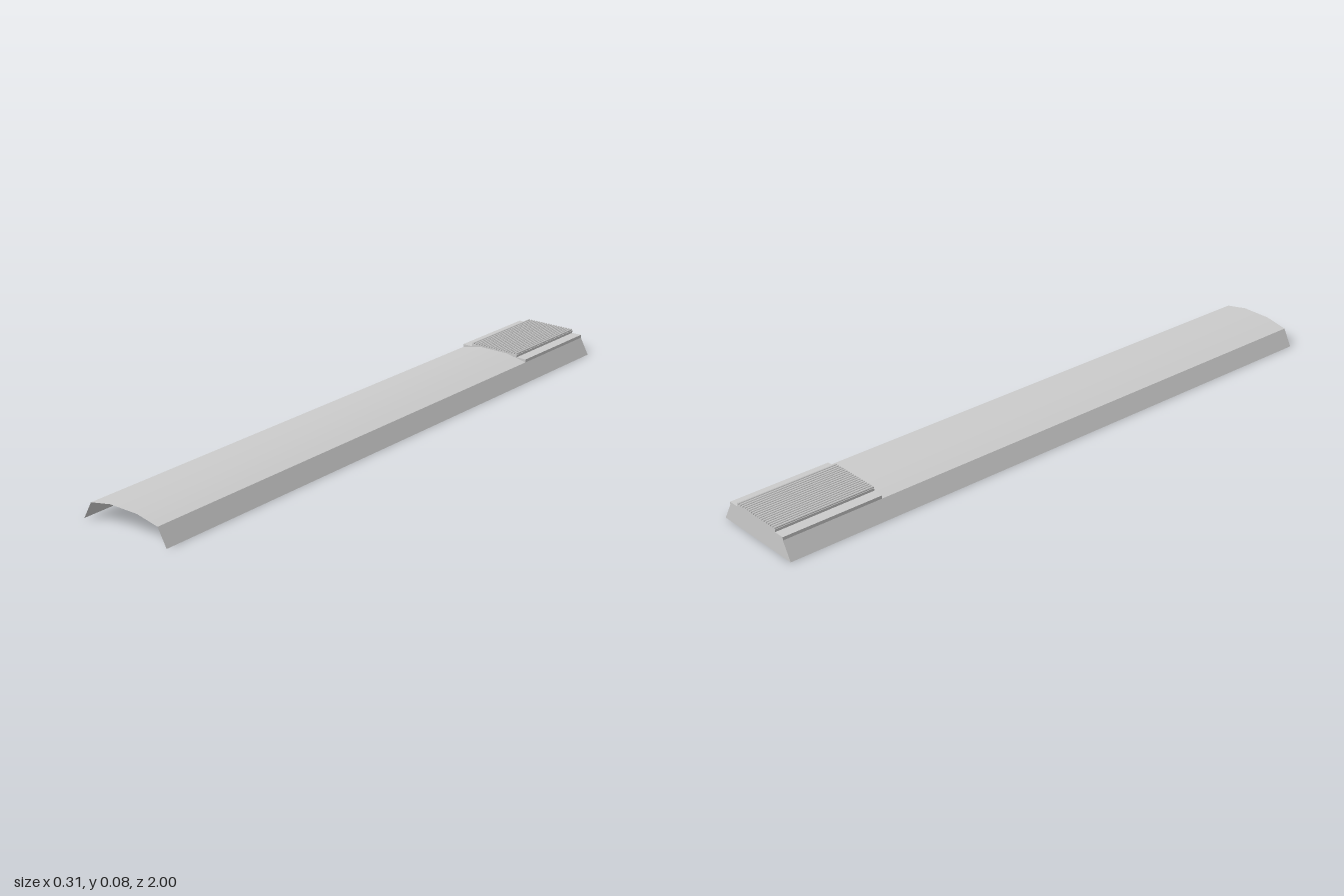
import * as THREE from 'three';

const FRONT = 1, BACK = -1, STEP = -0.67;
const material = new THREE.MeshStandardMaterial({ color: 0xcccccc, side: THREE.DoubleSide });

// Cross-section landmarks, right half as [x, y]
const FOOT = [0.155, 0], SHOULDER = [0.125, 0.054], DECK = [0.125, 0.064], CROWN = [0.05, 0.069];
const CROSSING = [0.078, 0.064]; // where the arch meets deck height
const mirror = ([x, y]) => [-x, y];

function addMesh(group, name, geometry) {
  const mesh = new THREE.Mesh(geometry, material);
  mesh.name = name;
  group.add(mesh);
  return mesh;
}

// Sweep an open profile (listed from -x to +x) along z, smooth across the profile
function sheet(profile, zFront, zBack) {
  const positions = [], index = [];
  profile.forEach(([x, y], i) => {
    positions.push(x, y, zFront, x, y, zBack);
    if (i > 0) {
      const a = 2 * (i - 1);
      index.push(a, a + 2, a + 1, a + 2, a + 3, a + 1);
    }
  });
  const geometry = new THREE.BufferGeometry();
  geometry.setAttribute('position', new THREE.Float32BufferAttribute(positions, 3));
  geometry.setIndex(index);
  geometry.computeVertexNormals();
  return geometry;
}

// Flat upright panel at a given z
function panel(points, z) {
  const shape = new THREE.Shape(points.map(([x, y]) => new THREE.Vector2(x, y)));
  return new THREE.ShapeGeometry(shape).translate(0, 0, z);
}

export function createModel() {
  const model = new THREE.Group();
  model.name = 'channelCover';

  // Long arched top and the full-length sloping sides
  addMesh(model, 'archedTop', sheet([mirror(SHOULDER), mirror(CROWN), CROWN, SHOULDER], FRONT, STEP));
  addMesh(model, 'leftSide', sheet([SHOULDER, FOOT], FRONT, BACK));
  addMesh(model, 'rightSide', sheet([mirror(FOOT), mirror(SHOULDER)], FRONT, BACK));

  // Flat rear deck with short upright edges
  addMesh(model, 'rearDeck', sheet([mirror(DECK), DECK], STEP, BACK));
  addMesh(model, 'leftDeckEdge', sheet([DECK, SHOULDER], STEP, BACK));
  addMesh(model, 'rightDeckEdge', sheet([mirror(SHOULDER), mirror(DECK)], STEP, BACK));

  // Closed rear end
  addMesh(model, 'endWall', panel(
    [FOOT, SHOULDER, DECK, mirror(DECK), mirror(SHOULDER), mirror(FOOT)], BACK).rotateY(Math.PI).translate(0, 0, 2 * BACK));

  // Step faces that join the arch to the deck
  addMesh(model, 'crownStep', panel([CROSSING, CROWN, mirror(CROWN), mirror(CROSSING)], STEP));
  addMesh(model, 'leftStep', panel([SHOULDER, DECK, CROSSING], STEP));
  addMesh(model, 'rightStep', panel([SHOULDER, DECK, CROSSING].map(mirror), STEP));

  // Ribbed grip pad on the deck
  const pad = new THREE.Group();
  pad.name = 'gripPad';
  model.add(pad);
  const length = STEP - BACK, middle = (STEP + BACK) / 2, halfWidth = 0.09;
  addMesh(pad, 'padBase', new THREE.BoxGeometry(2 * halfWidth, 0.008, length)).position.set(0, 0.068, middle);

  const count = 18, pitch = (2 * halfWidth) / count, radius = 0.0038;
  const ribGeometry = new THREE.CylinderGeometry(radius, radius, length, 8).rotateX(Math.PI / 2);
  for (let i = 0; i < count; i++) {
    const rib = addMesh(pad, 'rib', ribGeometry);
    rib.position.set(-halfWidth + pitch * (i + 0.5), 0.0742, middle);
  }
  return model;
}
